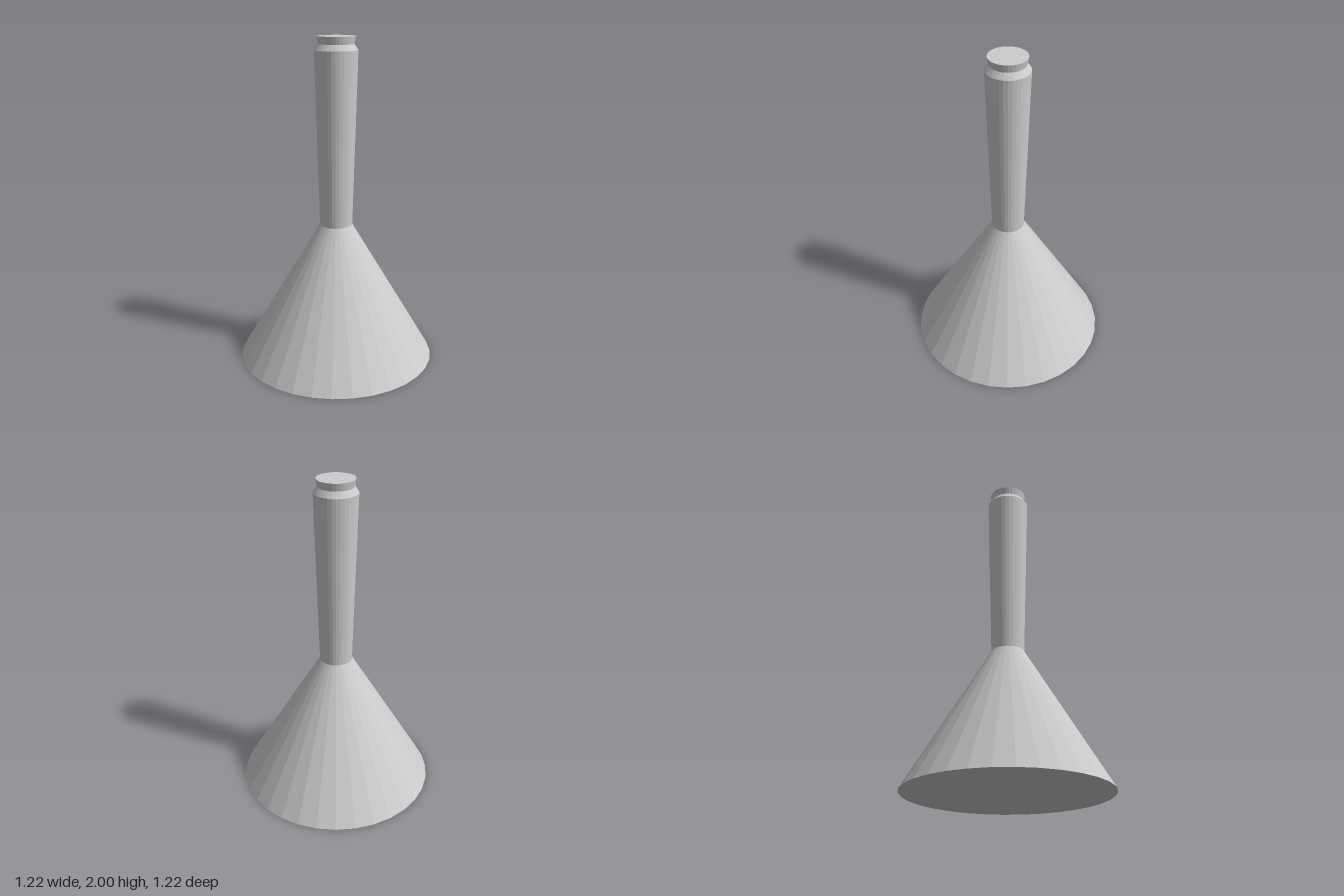
import * as THREE from 'three';

const SIDES = 32;

export function createModel() {
  const model = new THREE.Group();
  const material = new THREE.MeshStandardMaterial({
    color: 0xcccccc, flatShading: true, side: THREE.DoubleSide,
  });

  // Each part is a turned section: name, then [radius, height] profile points going up
  const parts = [
    ['coneBase', [[0, 0], [0.61, 0], [0.1, 0.86]]],
    ['taperedStem', [[0.1, 0.86], [0.13, 1.92]]],
    ['bevelledCollar', [[0.13, 1.92], [0.106, 1.955]]],
    ['flaredCap', [[0.106, 1.955], [0.114, 2], [0, 2]]],
  ];

  for (const [name, profile] of parts) {
    const points = profile.map(([r, y]) => new THREE.Vector2(r, y));
    const mesh = new THREE.Mesh(new THREE.LatheGeometry(points, SIDES), material);
    mesh.name = name;
    model.add(mesh);
  }
  return model;
}
